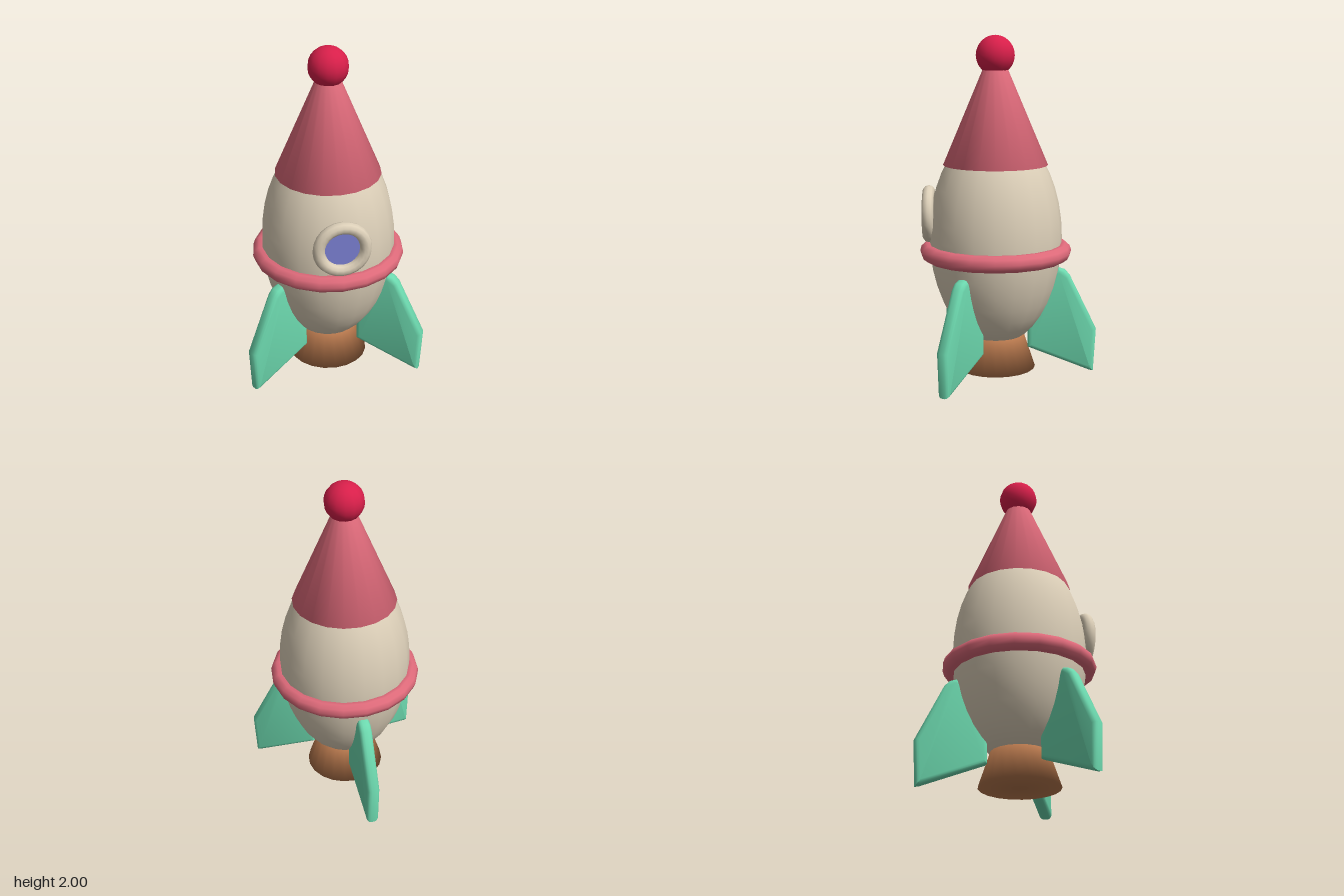
import * as THREE from 'three';
import { toCreasedNormals } from 'three/addons/utils/BufferGeometryUtils.js';

const SIDES = 20;

function material(name, color) {
  const m = new THREE.MeshStandardMaterial({ color });
  m.name = name;
  return m;
}

// Closed solid of revolution; profile runs from bottom to top
function lathe(profile) {
  return new THREE.LatheGeometry(profile.map(([r, y]) => new THREE.Vector2(r, y)), SIDES);
}

// Rounded fin plate lying along +x (radially) with its thickness along z
function finGeometry() {
  const outline = [
    [0.19, 0.15], [0.56, 0.005], [0.585, 0.0], [0.60, 0.26],
    [0.44, 0.59], [0.41, 0.622], [0.37, 0.635], [0.33, 0.6], [0.19, 0.3],
  ].map(([r, y]) => new THREE.Vector2(r, y));
  const bevel = 0.026;
  const depth = 0.076 - 2 * bevel;
  const geometry = new THREE.ExtrudeGeometry(new THREE.Shape(outline), {
    depth, bevelEnabled: true, bevelSize: bevel, bevelThickness: bevel,
    bevelOffset: -bevel, bevelSegments: 3,
  });
  geometry.translate(0, 0, -depth / 2);
  return toCreasedNormals(geometry, 0.7);
}

export function createModel() {
  const cream = material('cream', 0xdccfb8);
  const pink = material('pink', 0xde6a7a);
  const red = material('red', 0xd81f4a);
  const green = material('mint green', 0x6cd8ae);
  const brown = material('copper brown', 0xb3754b);
  const blue = material('window blue', 0x7b80d2);

  const rocket = new THREE.Group();
  rocket.name = 'rocket';
  rocket.position.z = 0.077;
  const add = (name, geometry, mat, x = 0, y = 0, z = 0) => {
    const mesh = new THREE.Mesh(geometry, mat);
    mesh.name = name;
    mesh.position.set(x, y, z);
    rocket.add(mesh);
    return mesh;
  };

  // Egg-shaped hull
  add('hull', new THREE.SphereGeometry(1, SIDES, 20), cream, 0, 0.82, 0).scale.set(0.392, 0.65, 0.392);

  // Nose cone with its ball
  add('noseCone', lathe([[0, 1.25], [0.307, 1.25], [0.062, 1.83], [0, 1.83]]), pink);
  add('noseBall', new THREE.SphereGeometry(0.115, 14, 12), red, 0, 1.885, 0);

  // Belt around the hull
  add('belt', new THREE.TorusGeometry(0.398, 0.05, 10, SIDES), pink, 0, 0.74, 0).rotation.x = Math.PI / 2;

  // Flared exhaust nozzle
  add('nozzle', lathe([[0, 0.03], [0.235, 0.03], [0.168, 0.23], [0, 0.23]]), brown);

  // Round window on the front
  add('windowFrame', new THREE.TorusGeometry(0.134, 0.035, 10, 24), cream, 0, 0.96, 0.393);
  add('windowGlass', new THREE.CircleGeometry(0.12, 24), blue, 0, 0.96, 0.395);

  // Three fins: one at the back, two towards the front
  const fin = finGeometry();
  [['backFin', 90], ['leftFin', -30], ['rightFin', 210]].forEach(([name, degrees]) => {
    add(name, fin, green).rotation.y = THREE.MathUtils.degToRad(degrees);
  });

  const model = new THREE.Group();
  model.name = 'toyRocket';
  model.add(rocket);
  return model;
}
